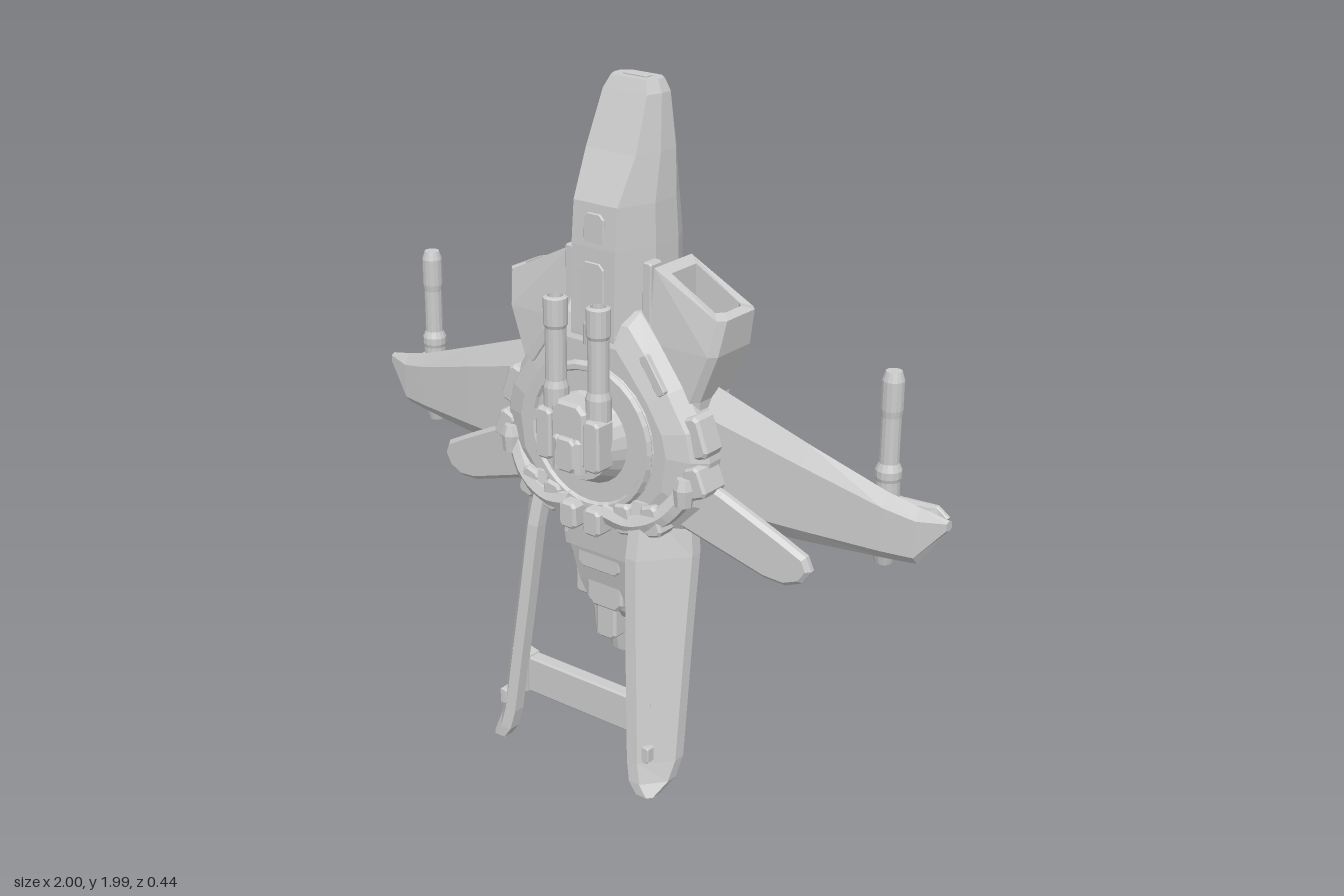
import * as THREE from 'three';

const mat = new THREE.MeshStandardMaterial({ color: 0xcccccc, flatShading: true, side: THREE.DoubleSide });

// Skin a list of equal-length closed loops of [x, y, z], capped at both ends
function loft(loops) {
  const n = loops[0].length, pos = loops.flat(2), idx = [];
  for (let i = 0; i < loops.length - 1; i++)
    for (let j = 0; j < n; j++) {
      const a = i * n + j, b = i * n + (j + 1) % n;
      idx.push(a, b, b + n, a, b + n, a + n);
    }
  const e = (loops.length - 1) * n;
  for (let j = 1; j < n - 1; j++) idx.push(0, j + 1, j, e, e + j, e + j + 1);
  // Turn every face outward if the enclosed volume comes out negative
  let vol = 0;
  const v = k => new THREE.Vector3().fromArray(pos, idx[k] * 3);
  for (let k = 0; k < idx.length; k += 3) vol += v(k).dot(v(k + 1).cross(v(k + 2)));
  if (vol < 0) idx.reverse();
  const g = new THREE.BufferGeometry();
  g.setAttribute('position', new THREE.Float32BufferAttribute(pos, 3));
  g.setIndex(idx);
  const flat = g.toNonIndexed();
  flat.computeVertexNormals();
  return flat;
}

// Eight-sided section at height y: half width w, back zb, front zf, flat half widths b and f
const octo = (y, w, zb, zf, b, f) => {
  const d = zf - zb;
  return [[b, zb], [w, zb + d * 0.25], [w, zb + d * 0.6], [f, zf], [-f, zf], [-w, zb + d * 0.6], [-w, zb + d * 0.25], [-b, zb]]
    .map(([x, z]) => [x, y, z]);
};

// Bevelled plate from an x-y outline, spanning z0 to z1
function plate(points, z0, z1, bevel = 0.015) {
  const shape = new THREE.Shape(points.map(p => new THREE.Vector2(...p)));
  const g = new THREE.ExtrudeGeometry(shape, {
    depth: z1 - z0 - 2 * bevel, bevelSize: bevel, bevelOffset: -bevel, bevelThickness: bevel, bevelSegments: 1
  });
  return g.translate(0, 0, z0 + bevel);
}

export function createModel() {
  const model = new THREE.Group();
  const add = (name, geo, x = 0, y = 0, z = 0) => {
    const m = new THREE.Mesh(geo, mat);
    m.name = name;
    m.position.set(x, y, z);
    model.add(m);
    return m;
  };
  const box = (name, w, h, d, x, y, z) => {
    const c = Math.min(w, h) * 0.2, a = w / 2, b = h / 2;
    return add(name, plate([[-a + c, -b], [a - c, -b], [a, -b + c], [a, b - c], [a - c, b], [-a + c, b], [-a, b - c], [-a, -b + c]],
      -d / 2, d / 2, Math.min(w, h, d) * 0.12), x, y, z);
  };
  // Turned part; profile is [radius, y]
  const turned = (name, profile, x, y, z, seg = 14) =>
    add(name, new THREE.LatheGeometry(profile.map(p => new THREE.Vector2(...p)), seg), x, y, z);
  // Mirrored points
  const flip = (pts, s) => pts.map(([x, ...r]) => [x * s, ...r]);

  // Nose and its panels
  add('nose', loft([
    octo(1.12, 0.13, -0.09, 0.08, 0.09, 0.08), octo(1.3, 0.13, -0.1, 0.09, 0.09, 0.075),
    octo(1.315, 0.13, -0.2, 0.09, 0.085, 0.075), octo(1.55, 0.125, -0.2, 0.085, 0.085, 0.075),
    octo(1.67, 0.12, -0.19, 0.075, 0.08, 0.075), octo(1.8, 0.11, -0.18, 0.01, 0.075, 0.085),
    octo(1.95, 0.09, -0.16, -0.05, 0.065, 0.075), octo(1.985, 0.075, -0.145, -0.065, 0.05, 0.06)
  ]));
  box('nosePanel', 0.07, 0.11, 0.02, 0, 1.59, 0.074);
  box('noseLowerPanel', 0.08, 0.16, 0.02, 0, 1.43, 0.081);
  box('noseTipSlot', 0.08, 0.012, 0.03, 0, 1.984, -0.105);

  // Main hull: front slopes up to the turret deck, back is a flat recess
  const half = [[0.12, 1.38], [0.18, 1.31], [0.27, 1.2], [0.34, 1.09], [0.36, 1.0], [0.34, 0.86], [0.26, 0.76], [0.13, 0.74]];
  const outline = (k, z) => [...half, ...flip(half, -1).reverse()].map(([x, y]) => [x * k, 1.03 + (y - 1.03) * k, z]);
  add('hull', loft([outline(0.88, -0.1), outline(1, -0.05), outline(1, 0.03), outline(0.9, 0.07), outline(0.72, 0.095)]));

  // Turret on its ring
  const disc = (name, r0, r1, h, z) =>
    add(name, new THREE.CylinderGeometry(r1, r0, h, 24).rotateX(Math.PI / 2), 0, 1.01, z);
  disc('turretPlate', 0.24, 0.21, 0.03, 0.09);
  add('turretRing', new THREE.TorusGeometry(0.205, 0.014, 6, 32), 0, 1.01, 0.103);
  disc('turretBase', 0.14, 0.11, 0.06, 0.125);
  box('turretBody', 0.12, 0.2, 0.08, 0, 1.04, 0.16);
  box('turretCap', 0.07, 0.1, 0.05, 0, 0.99, 0.19);
  turned('turretSight', [[0, 0], [0.025, 0], [0.025, 0.06], [0.015, 0.08], [0, 0.08]], 0, 1.28, 0.09);
  for (const s of [1, -1]) {
    turned('gunBarrel', [[0, 0], [0.036, 0], [0.036, 0.1], [0.03, 0.12], [0.03, 0.27], [0.034, 0.28],
      [0.034, 0.355], [0.022, 0.36], [0.022, 0.32], [0, 0.32]], 0.075 * s, 1.06, 0.155);
    box('gunMount', 0.055, 0.15, 0.07, 0.085 * s, 1.03, 0.17);
    turned('gunPiston', [[0, 0], [0.02, 0], [0.02, 0.09], [0.012, 0.1], [0, 0.1]], 0.035 * s, 0.94, 0.19, 8);
  }

  // Equipment collar around the lower half of the turret
  for (const s of [1, -1]) {
    box('collarBlock', 0.06, 0.08, 0.07, 0.043 * s, 0.775, 0.12);
    const curve = new THREE.CatmullRomCurve3([[0.06, 0.8, 0.105], [0.15, 0.79, 0.1], [0.24, 0.83, 0.085], [0.31, 0.92, 0.055]]
      .map(([x, y, z]) => new THREE.Vector3(x * s, y, z)));
    add('collarTube', new THREE.TubeGeometry(curve, 12, 0.033, 7));
    [[0.13, 0.8, 0.075], [0.22, 0.815, 0.065], [0.34, 0.95, 0.03]].forEach(([x, y, z], i) => {
      box('collarPod', 0.06, 0.09, 0.1, x * s, y, z).rotation.z = s * (0.2 + i * 0.1);
    });
    turned('sideSensor', [[0, 0], [0.025, 0], [0.03, 0.05], [0.02, 0.08], [0, 0.08]], 0.31 * s, 0.88, 0.08, 8);
    box('shoulderBlock', 0.07, 0.12, 0.08, 0.32 * s, 1.07, 0.02).rotation.z = 0.35 * s;
    box('deckVent', 0.03, 0.12, 0.02, 0.2 * s, 1.23, 0.075).rotation.z = 0.6 * s;
    box('deckRail', 0.03, 0.2, 0.05, 0.135 * s, 1.42, 0.0);
  }

  for (const s of [1, -1]) {
    // Air intake with a slanted hollow mouth
    const duct = (xi, xo, yi, yo, zb, zf) => flip([[xi, yi, zb], [xo - 0.02, yo, zb], [xo, yo, zb + 0.02],
      [xo, yo, zf - 0.02], [xo - 0.02, yo, zf], [xi, yi, zf]], s);
    add('intake', loft([
      duct(0.2, 0.3, 0.86, 0.9, -0.1, 0), duct(0.18, 0.312, 1.1, 1.16, -0.14, 0.035), duct(0.15, 0.365, 1.3, 1.3, -0.155, 0.03),
      duct(0.15, 0.378, 1.505, 1.4, -0.155, 0.01), duct(0.185, 0.35, 1.49, 1.41, -0.13, -0.02), duct(0.185, 0.35, 1.4, 1.32, -0.13, -0.02)
    ]));
    box('intakeBackRail', 0.03, 0.28, 0.03, 0.19 * s, 1.2, -0.14);

    // Main wing: stations of [x, leading y, trailing y, middle z, half thickness]
    const wing = [[0.26, 1.21, 0.79, -0.05, 0.045], [0.6, 1.085, 0.8, -0.083, 0.03],
      [0.83, 1.0, 0.808, -0.115, 0.025], [0.92, 0.975, 0.812, -0.13, 0.022], [1.0, 0.955, 0.925, -0.145, 0.014]];
    add('wing', loft(wing.map(([x, a, b, z, t]) => {
      const c = a - b;
      return flip([[x, a, z], [x, a - c * 0.2, z + t], [x, b + c * 0.15, z + t], [x, b, z],
        [x, b + c * 0.15, z - t], [x, a - c * 0.2, z - t]], s);
    })));
    add('lowerWing', plate(flip([[0.24, 0.98], [0.4, 0.92], [0.58, 0.83], [0.655, 0.79], [0.672, 0.75], [0.645, 0.71], [0.595, 0.692], [0.53, 0.7], [0.24, 0.8]], s),
      -0.035, 0.005, 0.012), 0, 0, 0.075).rotation.y = 0.13 * s;
    box('wingHinge', 0.07, 0.1, 0.09, 0.325 * s, 0.9, -0.07);

    // Wing tip plate, bracket and cannon
    add('tipPlate', plate(flip([[0.7, 0.9], [0.74, 0.84], [0.91, 0.835], [0.965, 0.93], [0.93, 0.955], [0.74, 0.945]], s), -0.22, -0.195, 0.008));
    add('tipBracket', loft([
      [[0.89, 0.84, -0.2], [0.96, 0.93, -0.2], [0.93, 0.95, -0.2], [0.87, 0.94, -0.2]],
      [[0.93, 0.83, -0.13], [0.995, 0.93, -0.14], [0.97, 0.955, -0.14], [0.92, 0.96, -0.13]]
    ].map(l => flip(l, s))));
    const cannonX = s > 0 ? 0.805 : -0.832;
    turned('wingCannon', [[0, 0], [0.025, 0], [0.033, 0.03], [0.033, 0.24], [0.036, 0.25], [0.036, 0.27], [0.027, 0.29],
      [0.027, 0.42], [0.03, 0.44], [0.03, 0.52], [0.022, 0.545], [0, 0.545]], cannonX, 0.775, -0.155);
    box('cannonMount', 0.09, 0.13, 0.07, cannonX, 0.9, -0.155);

    // Tail fin, inner edge forward: stations of [y, inner x, front z, outer x, back z]
    const fin = [[0.86, 0.152, 0.105, 0.285, -0.03], [0.7, 0.16, 0.145, 0.3, -0.015], [0.45, 0.18, 0.168, 0.308, 0.025],
      [0.1, 0.212, 0.2, 0.322, 0.08], [0.04, 0.225, 0.207, 0.315, 0.105], [0.005, 0.25, 0.207, 0.3, 0.155]];
    const t = 0.037;
    add('tailFin', loft(fin.map(([y, xi, zf, xo, zb]) => flip([[xi, y, zf], [xi + t, y, zf], [xo, y, zb + t],
      [xo, y, zb], [xo - t, y, zb], [xi, y, zf - t]], s))));
    box('finLight', 0.025, 0.05, 0.03, 0.267 * s, 0.13, 0.175);
    add('crossBarFoot', loft([[0.14, 0.28], [0.155, 0.268]].map((ys, i) => flip(ys.flatMap((y, j) =>
      (j ? [0.155, 0.1] : [0.1, 0.155]).map(z => [0.26 - i * 0.06, y, z])), s))));
  }

  // Bar joining the fins
  box('crossBar', 0.44, 0.115, 0.045, 0, 0.21, 0.125);

  // Engine block
  add('engineBody', loft([
    octo(0.86, 0.17, -0.16, 0.07, 0.12, 0.13), octo(0.78, 0.17, -0.19, 0.085, 0.11, 0.12),
    octo(0.64, 0.155, -0.185, 0.07, 0.1, 0.1), octo(0.52, 0.145, -0.16, 0.04, 0.09, 0.09),
    octo(0.45, 0.12, -0.145, 0.02, 0.07, 0.07), octo(0.42, 0.09, -0.13, 0, 0.05, 0.05)
  ]));
  box('engineSpine', 0.07, 0.22, 0.03, 0, 0.68, -0.183);
  box('engineFrontPlate', 0.15, 0.08, 0.03, 0, 0.62, 0.052);
  box('engineFrontCowl', 0.13, 0.12, 0.06, 0, 0.51, 0.012);
  const nozzle = (name, r, h, x, y, z) => turned(name,
    [[0, h], [r, h], [r * 1.15, h * 0.6], [r * 1.05, h * 0.5], [r * 0.8, 0], [r * 0.6, 0], [r * 0.6, h * 0.3], [0, h * 0.3]], x, y, z);
  nozzle('mainNozzle', 0.068, 0.2, 0, 0.29, -0.08);
  box('lowerVent', 0.07, 0.12, 0.06, 0, 0.41, 0.005);
  for (const s of [1, -1]) {
    nozzle('sideNozzle', 0.036, 0.2, 0.1 * s, 0.29, -0.09);
    turned('enginePod', [[0, 0], [0.02, 0], [0.036, 0.05], [0.042, 0.2], [0.025, 0.36], [0, 0.37]], 0.108 * s, 0.43, -0.138, 8);
    add('sideBulge', new THREE.SphereGeometry(1, 10, 8).scale(0.04, 0.1, 0.07), 0.13 * s, 0.66, -0.02);
    box('engineBracket', 0.05, 0.11, 0.07, 0.12 * s, 0.5, -0.04);
    box('noseWindow', 0.026, 0.035, 0.012, 0.024 * s, 1.9, -0.166);
  }
  return model;
}
